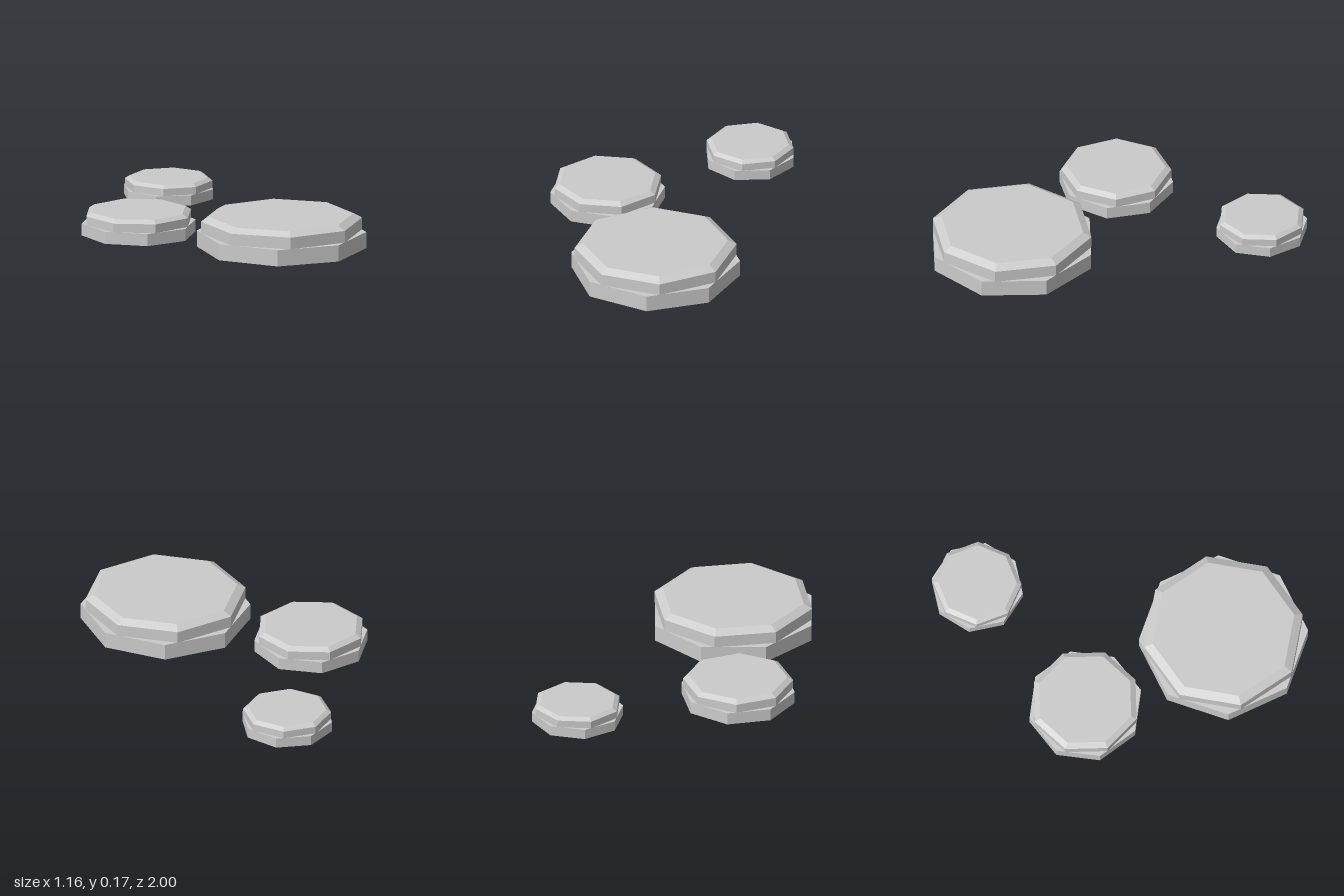
import * as THREE from 'three';

const SIDES = 8;
const material = new THREE.MeshStandardMaterial({ color: 0xcccccc, flatShading: true });

// Closed octagonal solid turned from a [radius, height] profile, bottom to top
function octagon(name, profile, degrees) {
  const points = profile.map(([r, y]) => new THREE.Vector2(r, y));
  const start = -THREE.MathUtils.degToRad(degrees);
  const mesh = new THREE.Mesh(new THREE.LatheGeometry(points, SIDES, start), material);
  mesh.name = name;
  return mesh;
}

// One stepping stone: a plain base slab and a slightly turned, bevelled cap slab
function steppingStone({ name, x, z, radius, height, angle }) {
  const stone = new THREE.Group();
  stone.name = name;
  stone.position.set(x, 0, z);
  const mid = height * 0.5;
  const rim = height * 0.86;
  const capRadius = radius * 0.956;
  const topRadius = radius * 0.855;
  stone.add(
    octagon('baseSlab', [[0, 0], [radius, 0], [radius, mid], [0, mid]], angle),
    octagon('capSlab', [[0, mid], [capRadius, mid], [capRadius, rim], [topRadius, height], [0, height]], angle - 9)
  );
  return stone;
}

export function createModel() {
  const group = new THREE.Group();
  group.name = 'steppingStones';
  const stones = [
    { name: 'largeStone', x: 0.137, z: 0.557, radius: 0.446, height: 0.175, angle: 37 },
    { name: 'mediumStone', x: -0.299, z: -0.137, radius: 0.303, height: 0.13, angle: 25.3 },
    { name: 'smallStone', x: 0.317, z: -0.757, radius: 0.243, height: 0.108, angle: 5.4 },
  ];
  for (const stone of stones) group.add(steppingStone(stone));
  return group;
}
